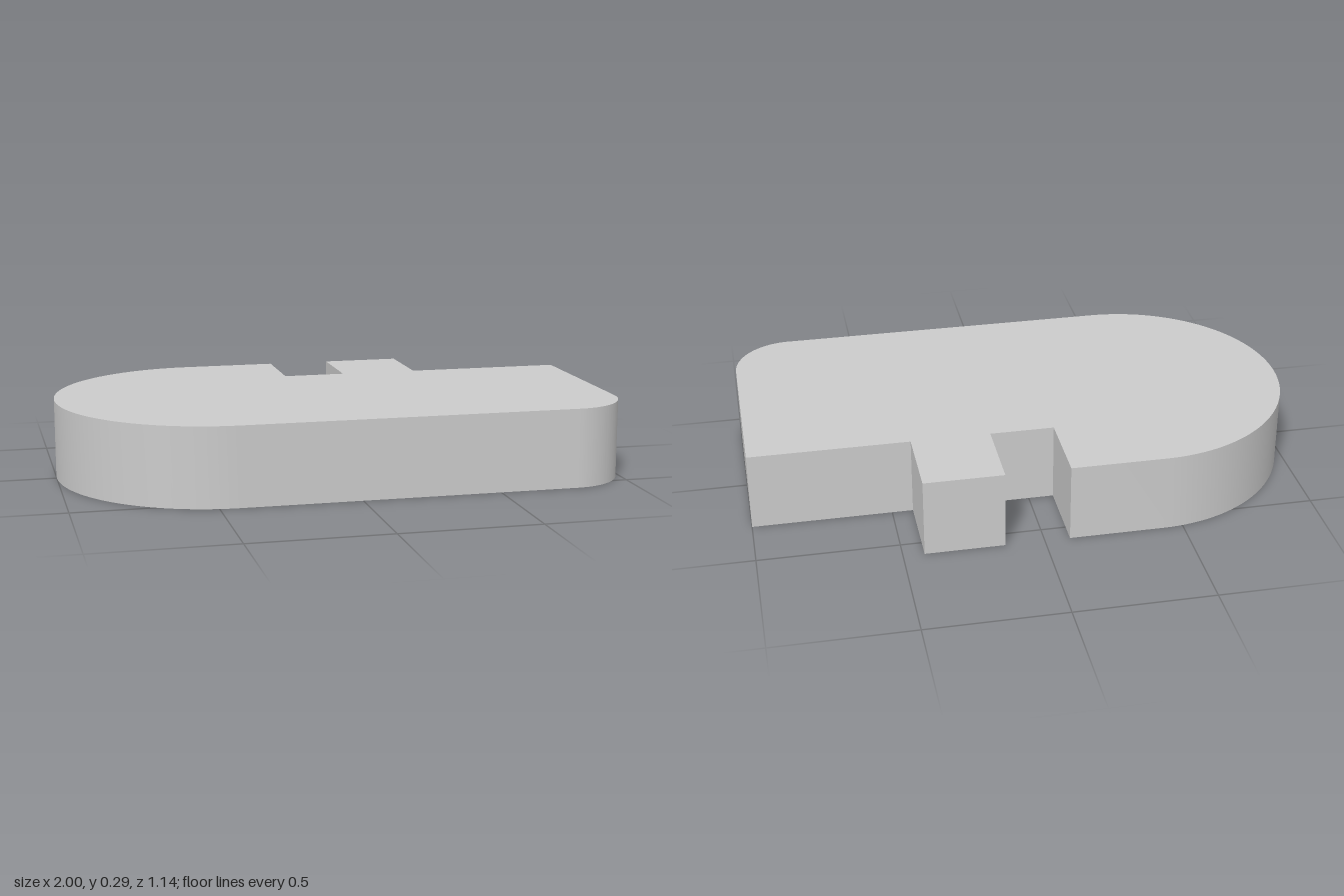
import * as THREE from 'three';
import { toCreasedNormals } from 'three/addons/utils/BufferGeometryUtils.js';

const HEIGHT = 0.286;   // plate thickness
const HALF = 0.571;     // half depth, also the radius of the round end
const STEP = 0.286;     // level of the stepped back edge and notch floor
const CORNER = 0.214;   // radius of the front left corner

export function createModel() {
  const group = new THREE.Group();
  group.name = 'notchedPlate';

  // Plan outline, counter-clockwise; shape +y becomes the back (-z)
  const outline = new THREE.Shape();
  outline.moveTo(1, STEP);
  // tab and notch along the back edge
  outline.lineTo(0.425, STEP);
  outline.lineTo(0.425, HALF);
  outline.lineTo(0.14, HALF);
  outline.lineTo(0.14, STEP);
  outline.lineTo(-0.09, STEP);
  outline.lineTo(-0.09, HALF);
  // round end
  outline.absarc(HALF - 1, 0, HALF, Math.PI / 2, Math.PI * 1.5, false);
  // rounded front corner
  outline.absarc(1 - CORNER, CORNER - HALF, CORNER, -Math.PI / 2, 0, false);
  outline.closePath();

  const extruded = new THREE.ExtrudeGeometry(outline, {
    depth: HEIGHT, bevelEnabled: false, curveSegments: 32,
  });
  extruded.rotateX(-Math.PI / 2);

  const plate = new THREE.Mesh(
    toCreasedNormals(extruded, 0.5),
    new THREE.MeshStandardMaterial({ color: 0xcccccc }),
  );
  plate.name = 'plate';
  group.add(plate);
  return group;
}
